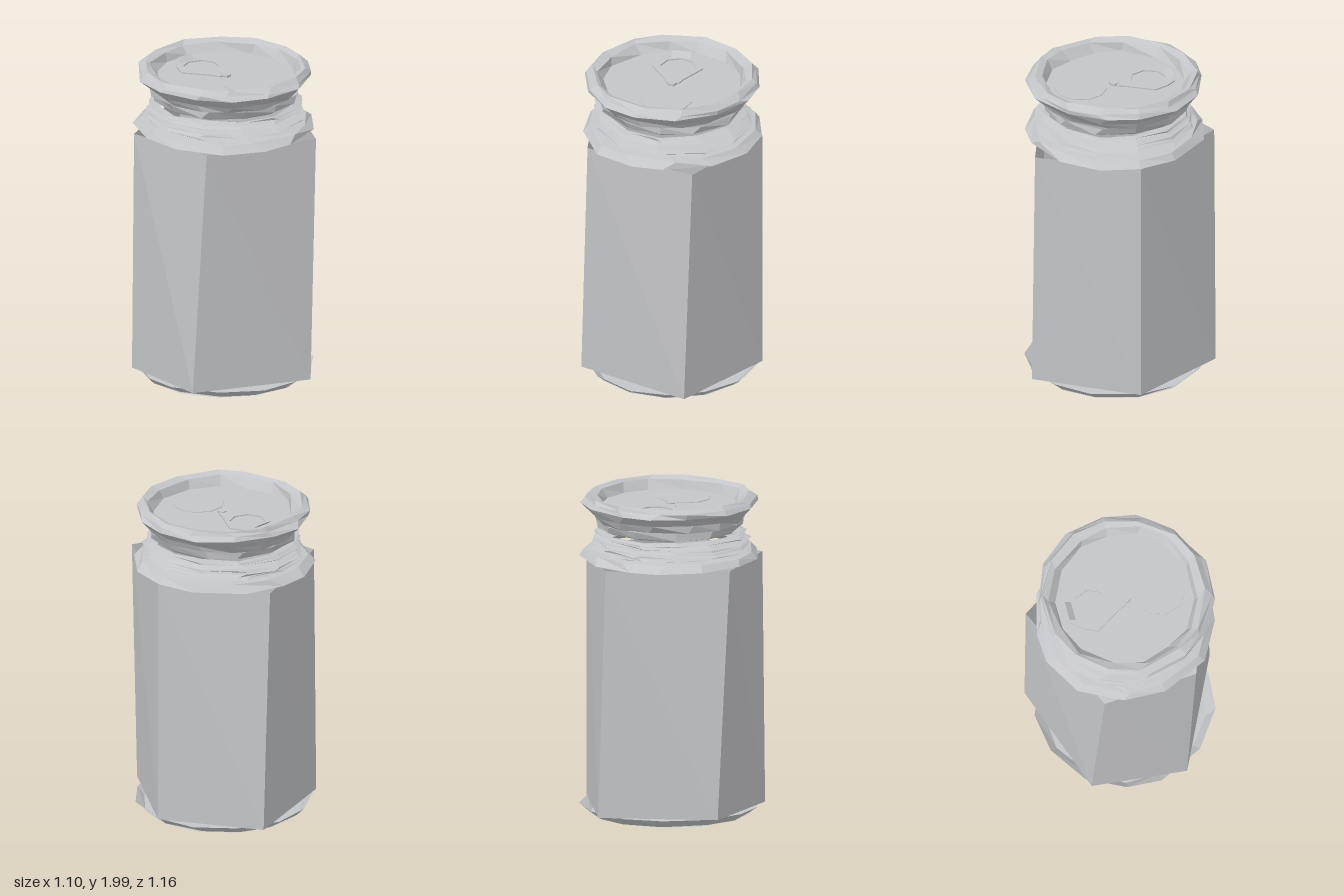
import * as THREE from 'three';

export function createModel() {
  const can = new THREE.Group();
  can.name = 'can';
  const metal = new THREE.MeshStandardMaterial({ color: 0xc4c5c8, side: THREE.DoubleSide });
  metal.name = 'bareMetal';

  let seed = 7;
  const jitter = (a) => {
    seed = (seed * 16807) % 2147483647;
    return (seed / 2147483647 * 2 - 1) * a;
  };

  const add = (name, geometry, parent = can) => {
    const mesh = new THREE.Mesh(geometry, metal);
    mesh.name = name;
    parent.add(mesh);
    return mesh;
  };

  // Faceted skin between successive loops of [x, y, z] points, bottom to top
  const skin = (loops) => {
    const pos = [];
    for (let k = 0; k + 1 < loops.length; k++) {
      const a = loops[k], b = loops[k + 1], n = a.length;
      for (let i = 0; i < n; i++) {
        const j = (i + 1) % n;
        pos.push(...a[i], ...b[i], ...b[j], ...a[i], ...b[j], ...a[j]);
      }
    }
    const g = new THREE.BufferGeometry();
    g.setAttribute('position', new THREE.Float32BufferAttribute(pos, 3));
    g.computeVertexNormals();
    return g;
  };

  // Slightly dented ring; its first point stays on the seam at +x
  const ring = (r, y, n, dr = 0.012, dy = 0.005) =>
    Array.from({ length: n }, (_, i) => {
      const t = (i / n) * Math.PI * 2 + (i ? jitter(0.08) : 0);
      const q = r + (i ? jitter(dr) : 0);
      return [q * Math.cos(t), y + jitter(dy), q * Math.sin(t)];
    });
  const rings = (profile, n, dr, dy) => skin(profile.map(([r, y]) => ring(r, y, n, dr, dy)));

  // Five-sided, slightly twisted body, open at both ends
  const low = [[0.56, 0], [0.17, 0.58], [-0.52, 0.26], [-0.47, -0.33], [0.22, -0.575]];
  const high = [[0.56, 0], [0.22, 0.575], [-0.47, 0.33], [-0.52, -0.26], [0.17, -0.58]];
  add('body', skin([low.map(([x, z]) => [x, 0.05, z]), high.map(([x, z]) => [x, 1.6, z])]));

  // Base rim and flat underside
  add('baseRim', rings([[0.495, 0.006], [0.55, 0.052]], 13, 0.008, 0.002));
  const floor = new THREE.CircleGeometry(0.5, 13).rotateX(Math.PI / 2);
  add('baseFloor', floor).position.y = 0.004;

  // Shoulder
  add('shoulder', rings([[0.555, 1.602], [0.515, 1.643], [0.45, 1.652]], 13, 0.012, 0.003));

  // Separate crumpled bands around the neck, with narrow gaps
  [[0.495, 1.662], [0.495, 1.682], [0.485, 1.706], [0.475, 1.73], [0.47, 1.753]].forEach(([r, y], i) => {
    add('neckBand' + (i + 1), rings([[r, y], [r - 0.025, y + 0.01], [0.42, y + 0.012]], 12, 0.016, 0.004));
  });

  // Flared rim, rolled over and down to the lid
  add('lowerRim', rings([[0.425, 1.778], [0.44, 1.79], [0.46, 1.838]], 12, 0.014, 0.006));
  add('upperRim', rings([[0.46, 1.838], [0.485, 1.88], [0.54, 1.94], [0.525, 1.965], [0.495, 1.99],
    [0.455, 1.975], [0.42, 1.915]], 14, 0.014, 0.005));

  // Lid panel
  const lid = new THREE.Group();
  lid.name = 'lid';
  lid.position.y = 1.915;
  can.add(lid);
  add('lidPanel', new THREE.CircleGeometry(0.44, 16).rotateX(-Math.PI / 2), lid);

  // Thin plates lying on the lid, from [x, z] outlines
  const points = (list) => list.map(([x, z]) => new THREE.Vector2(x, -z));
  const plate = (name, outline, hole, depth) => {
    const shape = new THREE.Shape(points(outline));
    if (hole) shape.holes.push(new THREE.Path(points(hole)));
    const g = new THREE.ExtrudeGeometry(shape, { depth, bevelEnabled: false });
    return add(name, g.rotateX(-Math.PI / 2), lid);
  };
  const circle = (cx, cz, r, n) => Array.from({ length: n }, (_, i) => {
    const t = (i / n) * Math.PI * 2;
    return [cx + r * Math.cos(t), cz + r * Math.sin(t)];
  });
  plate('pullTab',
    [[-0.07, -0.36], [0.07, -0.36], [0.12, -0.3], [0.155, -0.21], [0.06, -0.05], [0.04, 0],
      [-0.04, 0], [-0.06, -0.05], [-0.165, -0.21], [-0.12, -0.3]],
    circle(0, -0.21, 0.11, 8), 0.008);
  plate('openingPanel', circle(0, 0.22, 0.16, 10), null, 0.004);
  plate('rivet', circle(0, 0.01, 0.03, 6), null, 0.014);

  // Raised lip at the finger end of the tab
  const lip = add('tabLip', new THREE.PlaneGeometry(0.12, 0.05), lid);
  lip.position.set(0, 0.022, -0.342);
  lip.rotation.x = -0.9;

  return can;
}
